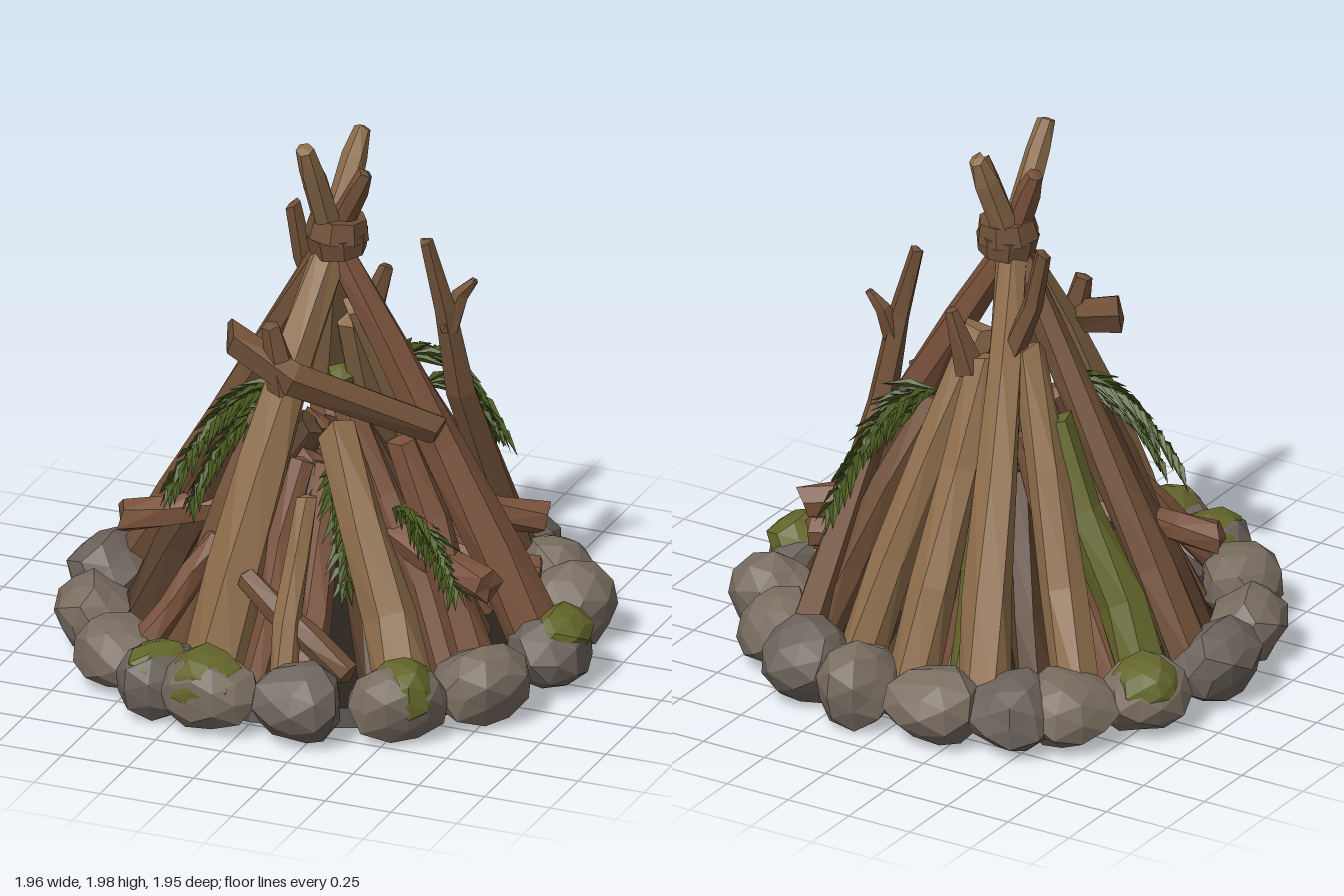
import * as THREE from 'three';

const mat = (color, side = THREE.FrontSide) => {
  const m = new THREE.MeshStandardMaterial({ color, flatShading: true });
  m.side = side;
  return m;
};
const MATS = {
  light: mat(0x8c6c4a), brown: mat(0x6f5037), red: mat(0x77503a), bark: mat(0x553d2b),
  moss: mat(0x62652a), stone: mat(0x786c60), greyStone: mat(0x6b625a),
  leaf: mat(0x4c5c20, THREE.DoubleSide), ground: mat(0x2a241e),
};
const V = (x, y, z) => new THREE.Vector3(x, y, z);
const CROSSING = V(0, 1.57, 0);

// Point at an angle in degrees around the fire, measured from the front towards +x
const polar = (deg, r, y) => {
  const a = THREE.MathUtils.degToRad(deg);
  return V(Math.sin(a) * r, y, Math.cos(a) * r);
};

let seed = 7;
const rnd = (a = 0, b = 1) => {
  seed = (seed * 16807) % 2147483647;
  return a + (b - a) * (seed / 2147483647);
};

function add(parent, name, geometry, material) {
  const mesh = new THREE.Mesh(geometry, MATS[material]);
  mesh.name = name;
  parent.add(mesh);
  return mesh;
}

// Rough faceted limb lofted through points, tapering from r0 to r1
function limb(p, r0, r1, sides = 6) {
  const n = p.length, pos = [], idx = [];
  const d = p[n - 1].clone().sub(p[0]).normalize();
  const u = V(0.31, 0.17, 0.93).cross(d).normalize();
  const w = d.clone().cross(u);
  p.forEach((c, i) => {
    for (let j = 0; j < sides; j++) {
      const a = (j / sides) * Math.PI * 2 + i * 0.2;
      const r = (r0 + (r1 - r0) * i / (n - 1)) * rnd(0.88, 1.12);
      const q = c.clone().addScaledVector(u, Math.cos(a) * r).addScaledVector(w, Math.sin(a) * r);
      if (i === 0 || i === n - 1) q.addScaledVector(d, rnd(-0.3, 0.3) * r);
      pos.push(...q.toArray());
    }
  });
  for (let i = 0; i < n - 1; i++) for (let j = 0; j < sides; j++) {
    const a = i * sides + j, b = i * sides + (j + 1) % sides;
    idx.push(a, b, a + sides, b, b + sides, a + sides);
  }
  const s = n * sides, top = s - sides;
  pos.push(...p[0].toArray(), ...p[n - 1].clone().addScaledVector(d, r1 * 0.25).toArray());
  for (let j = 0; j < sides; j++) {
    const k = (j + 1) % sides;
    idx.push(s, k, j, s + 1, top + j, top + k);
  }
  const g = new THREE.BufferGeometry();
  g.setAttribute('position', new THREE.Float32BufferAttribute(pos, 3));
  g.setIndex(idx);
  g.computeVertexNormals();
  return g;
}

// Log between two points with slightly wandering middle sections
function log(a, b, r0, r1) {
  const points = [0, 1, 2, 3].map((i) => {
    const wob = i % 3 ? r0 * 0.25 : 0;
    return a.clone().lerp(b, i / 3).add(V(rnd(-wob, wob), 0, rnd(-wob, wob)));
  });
  return limb(points, r0, r1);
}

// Lumpy rock, flattened underneath
function rock(rx, ry, rz) {
  const g = new THREE.IcosahedronGeometry(1, 1), pos = g.attributes.position, v = V(0, 0, 0);
  const k = rnd(0, 20);
  for (let i = 0; i < pos.count; i++) {
    v.fromBufferAttribute(pos, i);
    v.multiplyScalar(1 + 0.09 * Math.sin(v.x * 3.1 + k) + 0.08 * Math.sin(v.y * 4.3 + v.z * 3.7 + k * 2));
    pos.setXYZ(i, v.x * rx, Math.max(v.y, -0.95) * ry, v.z * rz);
  }
  g.computeVertexNormals();
  return g;
}

// Evergreen frond: narrow blades along a stem that arches outwards and droops
function frond(deg, r, y, reach, drop) {
  const pos = [], up = V(0, 1, 0), size = 0.08 + reach * 0.23, count = Math.round(reach * 42);
  const stem = (t) => polar(deg, r + reach * t, y + drop * (0.3 * t - 1.3 * t * t));
  for (let i = 0; i < count; i++) {
    const t = i / (count - 1), c = stem(t), d = stem(t + 0.05).sub(c).normalize();
    const side = d.clone().cross(up).normalize();
    for (const s of [-1, -0.35, 0.35, 1]) {
      const dir = d.clone().addScaledVector(side, s * 0.85).add(V(0, rnd(-0.35, 0.2), 0)).normalize();
      const len = size * rnd(0.75, 1.15) * (1 - t * 0.35);
      const wide = dir.clone().cross(up).normalize().multiplyScalar(size * 0.11);
      const mid = c.clone().addScaledVector(dir, len * 0.45).add(V(0, 0.012, 0));
      const tip = c.clone().addScaledVector(dir, len).add(V(0, -len * 0.15, 0));
      for (const q of [c, mid.clone().add(wide), tip, c, tip, mid.clone().sub(wide)]) pos.push(...q.toArray());
    }
  }
  const g = new THREE.BufferGeometry();
  g.setAttribute('position', new THREE.Float32BufferAttribute(pos, 3));
  g.computeVertexNormals();
  return g;
}

export function createModel() {
  seed = 7;
  const model = new THREE.Group();
  model.name = 'campfire';
  const group = (name) => {
    const g = new THREE.Group();
    g.name = name;
    model.add(g);
    return g;
  };

  // Charred ground inside the ring
  add(model, 'ground', new THREE.CylinderGeometry(0.7, 0.76, 0.05, 24), 'ground').position.y = 0.055;

  // Ring of stones by angle, some with a moss patch
  const ring = group('stoneRing');
  const mossy = [39, 90, 244, 336, 352];
  [14, 39, 62, 90, 115, 135, 154, 171, 192, 211, 226, 244, 270, 293, 319, 336, 352].forEach((deg, i) => {
    const r = rnd(0.15, 0.17), h = rnd(0.13, 0.152);
    const place = (mesh, out, y) => {
      mesh.position.copy(polar(deg, out, y));
      mesh.rotation.y = THREE.MathUtils.degToRad(deg);
    };
    place(add(ring, 'stone', rock(r * 1.06, h, r * 0.95), i % 3 ? 'stone' : 'greyStone'), 0.835, h + 0.01);
    if (mossy.includes(deg)) place(add(ring, 'mossPatch', rock(r * 0.8, h * 0.75, r * 0.8), 'moss'), 0.85, h + 0.055);
  });

  // Four main poles, slightly bowed, crossing at the lashing
  const poles = group('mainPoles');
  [['frontPole', V(-0.19, 0.12, 0.61), V(0.05, 1.94, -0.16), 0.125, 0.05, 'light'],
   ['backPole', V(-0.32, 0.1, -0.72), V(-0.03, 1.98, 0.18), 0.1, 0.02, 'light'],
   ['rightPole', V(-0.8, 0.12, -0.06), V(0.13, 1.85, 0.01), 0.085, 0, 'brown'],
   ['leftPole', V(0.8, 0.12, 0.01), V(-0.09, 1.85, 0), 0.105, 0.02, 'red'],
  ].forEach(([name, base, tip, r, bow, m]) => {
    const out = V(base.x, 0, base.z).normalize();
    const lower = [0, 0.25, 0.5, 0.75, 1].map((t) =>
      base.clone().lerp(CROSSING, t).addScaledVector(out, bow * Math.sin(t * Math.PI)));
    const neck = CROSSING.clone().lerp(tip, 0.75);
    add(poles, name, limb([...lower, neck, tip], r, 0.03), m);
  });

  // Lashing around the crossing, two uneven wraps
  const lashing = group('lashing');
  for (const s of [-1, 1]) {
    const wrap = add(lashing, 'wrap', new THREE.CylinderGeometry(0.106 - s * 0.006, 0.108 + s * 0.008, 0.075, 8), 'brown');
    wrap.position.set(0.02, 1.595 + s * 0.03, 0);
    wrap.rotation.set(-s * 0.06, s * 0.18, -s * 0.07);
  }

  // Logs leaning towards the crossing: name, angle, reach on the ground, top height, radius, twist
  const logs = group('leaningLogs');
  [['backLog', 229, 0.86, 1.24, 0.085, 0, 'light'],
   ['backLog', 182, 0.79, 1.2, 0.085, 0, 'light'],
   ['backLog', 160, 0.76, 1.28, 0.085, 0, 'light'],
   ['backLog', 139, 0.78, 1, 0.075, 0, 'brown'],
   ['mossyLog', 250, 0.82, 1, 0.09, -10, 'moss'],
   ['mossyLog', 196, 0.66, 0.95, 0.07, 0, 'moss'],
   ['frontLog', 42, 0.88, 0.99, 0.1, -17, 'light'],
   ['frontLog', -40, 0.69, 0.95, 0.08, 0, 'brown'],
   ['sideLog', -71, 0.72, 0.95, 0.08, 0, 'bark'],
   ['sideLog', 70, 0.76, 0.9, 0.08, 0, 'red'],
   ['sideLog', 113, 0.76, 0.95, 0.08, 0, 'bark'],
   ['kindling', -2, 0.72, 0.86, 0.06, 6, 'red'],
  ].forEach(([name, deg, reach, top, r, twist, m]) => {
    const at = (y, turn) => polar(deg + turn, reach * (1 - y / CROSSING.y), y);
    add(logs, name, log(at(0.1, 0), at(top, twist), r, r * 0.75), m);
  });

  // Loose kindling propped at the front
  add(logs, 'kindling', log(V(0.12, 0.18, 0.72), V(0.09, 0.78, 0.45), 0.05, 0.04), 'light');
  add(logs, 'kindling', log(V(0.33, 0.22, 0.64), V(-0.1, 0.49, 0.56), 0.05, 0.045), 'brown');
  add(logs, 'kindling', log(V(-0.45, 0.2, 0.62), V(-0.25, 0.55, 0.4), 0.055, 0.05), 'red');

  // Short logs poking out at the sides: angle, height
  [[-70, 0.49], [71, 0.45], [112, 0.5], [104, 0.34]].forEach(([deg, y]) =>
    add(logs, 'stubLog', log(polar(deg, 0.74, y), polar(deg, 0.3, y + 0.08), 0.06, 0.06), 'red'));

  // Inner fuel stacked in a small cone
  const fuel = group('innerFuel');
  for (let i = 0; i < 12; i++) {
    const deg = i * 30 + 11;
    add(fuel, 'fuelStick', log(polar(deg, rnd(0.5, 0.58), 0.08), polar(deg, 0.07, rnd(0.65, 0.95)), 0.075, 0.055),
      i % 2 ? 'bark' : 'red');
  }

  // Crooked and forked branches
  const branches = group('branches');
  const branch = (r0, r1, ...points) => add(branches, 'branch', limb(points, r0, r1, 5), 'brown');
  branch(0.068, 0.055, V(-0.28, 1.26, 0.27), V(-0.02, 1.16, 0.31), V(0.42, 0.93, 0.04));
  branch(0.065, 0.035, V(-0.05, 1.1, 0.3), V(-0.11, 1.34, 0.3));
  branch(0.07, 0.025, V(0.48, 0.15, -0.6), V(0.38, 0.95, -0.26), V(0.34, 1.28, -0.2), V(0.285, 1.54, -0.17));
  branch(0.045, 0.015, V(0.35, 1.2, -0.21), V(0.38, 1.32, -0.25), V(0.43, 1.38, -0.26));
  branch(0.045, 0.03, V(-0.1, 1.22, -0.17), V(-0.17, 1.42, -0.14), V(-0.2, 1.62, -0.12));
  branch(0.06, 0.025, V(0.03, 1.15, -0.22), V(0.1, 1.38, -0.25));

  // Evergreen fronds draped over the logs: angle, start radius, start height, reach, drop
  const fronds = group('fronds');
  [[-54, 0.17, 1.02, 0.4, 0.32], [-45, 0.22, 0.95, 0.3, 0.27], [145, 0.28, 1.05, 0.4, 0.35],
   [135, 0.34, 0.95, 0.27, 0.21], [28, 0.24, 0.78, 0.3, 0.28], [64, 0.34, 0.66, 0.3, 0.2],
  ].forEach((spec) => add(fronds, 'frond', frond(...spec), 'leaf'));

  return model;
}
